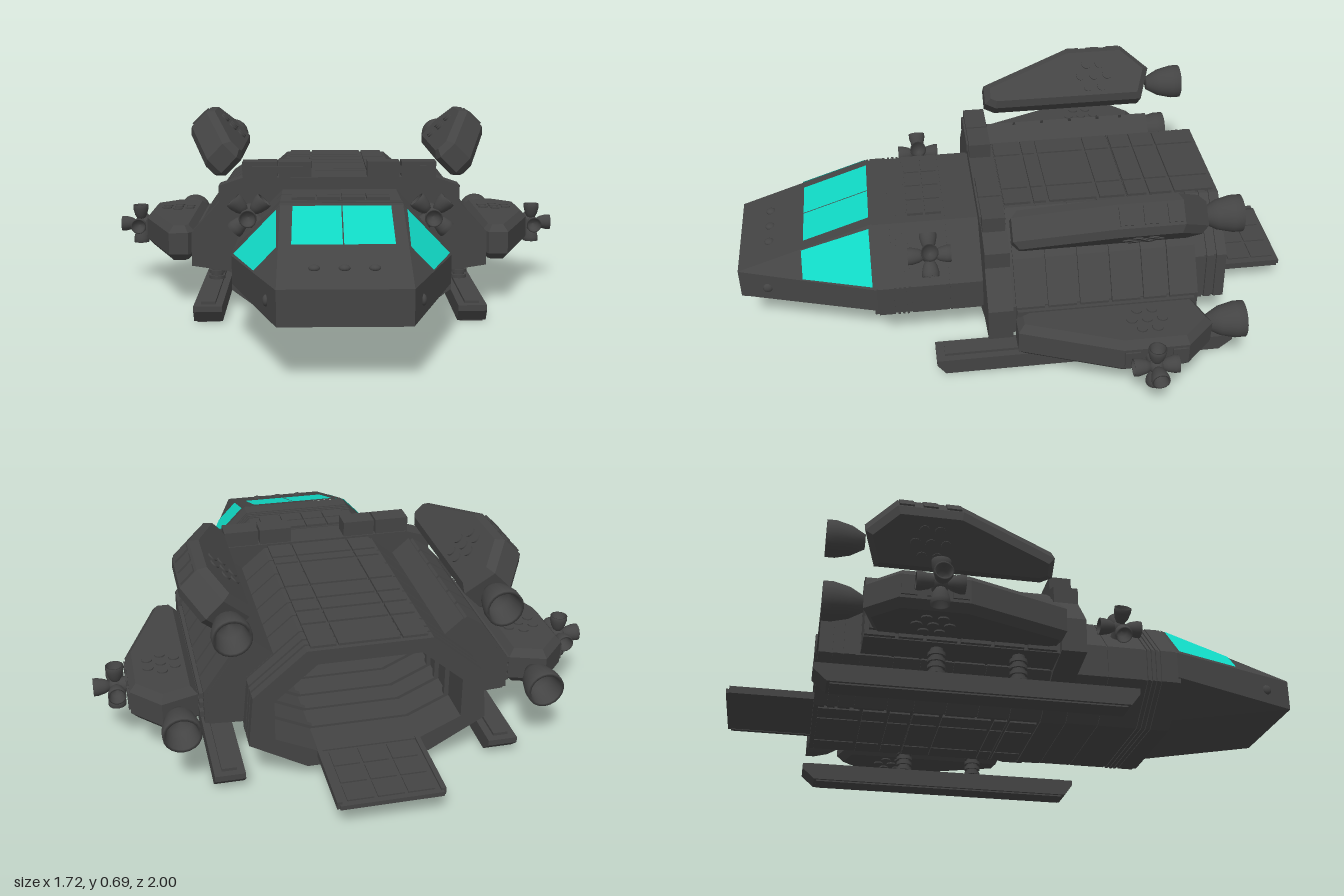
import * as THREE from 'three';

const hull = new THREE.MeshStandardMaterial({ color: 0x444444 });
hull.name = 'charcoal hull';
const glass = new THREE.MeshStandardMaterial({ color: 0x10d8c4, side: THREE.DoubleSide });
glass.name = 'teal glass';

const add = (parent, name, geo, mat = hull) => {
  const m = new THREE.Mesh(geo, mat);
  m.name = name;
  parent.add(m);
  return m;
};
const box = (parent, name, x0, x1, y0, y1, z0, z1) =>
  add(parent, name, new THREE.BoxGeometry(x1 - x0, y1 - y0, z1 - z0)
    .translate((x0 + x1) / 2, (y0 + y1) / 2, (z0 + z1) / 2));

// Symmetric outline from its +x half, listed top to bottom
const outline = (half) => [...half].reverse().concat(half.map(([x, y]) => [-x, y]));
const grow = (pts, k, cy = 0.27) => pts.map(([x, y]) => [x * k, cy + (y - cy) * k]);
const toShape = (pts) => new THREE.Shape(pts.map(([x, y]) => new THREE.Vector2(x, y)));

// Straight section of an outline between two z positions
function prism(parent, name, pts, z0, z1, hole) {
  const s = toShape(pts);
  if (hole) s.holes.push(toShape(hole));
  return add(parent, name, new THREE.ExtrudeGeometry(s, { depth: z1 - z0, bevelEnabled: false }).translate(0, 0, z0));
}

// Tapered section between two outlines, capped at the front
function loft(front, zf, back, zb) {
  const pos = [], n = front.length;
  const A = (i) => [...front[i % n], zf], B = (i) => [...back[i % n], zb];
  for (let i = 0; i < n; i++) {
    pos.push(...B(i), ...B(i + 1), ...A(i + 1), ...B(i), ...A(i + 1), ...A(i));
    if (i > 0 && i < n - 1) pos.push(...A(0), ...A(i), ...A(i + 1));
  }
  const g = new THREE.BufferGeometry();
  g.setAttribute('position', new THREE.Float32BufferAttribute(pos, 3));
  g.computeVertexNormals();
  return g;
}

function quad(a, b, c, d) {
  const g = new THREE.BufferGeometry();
  g.setAttribute('position', new THREE.Float32BufferAttribute([...a, ...b, ...c, ...a, ...c, ...d], 3));
  g.computeVertexNormals();
  return g;
}

// Hollow rocket bell opening along +y
const bell = (r, len) => new THREE.LatheGeometry(
  [[0, 0], [0.4, 0], [0.8, 0.35], [1, 0.75], [1, 1], [0.85, 1], [0.65, 0.4], [0, 0.3]]
    .map(([x, y]) => new THREE.Vector2(x * r, y * len)), 20);

// Cluster of five small bells, the middle one pointing along local +x
function thruster(parent, x, y, z, tilt) {
  const g = new THREE.Group();
  g.name = 'thrusterCluster';
  add(g, 'thrusterCore', new THREE.SphereGeometry(0.026, 12, 8));
  add(g, 'thrusterMount', new THREE.CylinderGeometry(0.022, 0.03, 0.06, 12).rotateZ(-Math.PI / 2).translate(-0.03, 0, 0));
  const up = new THREE.Vector3(0, 1, 0);
  for (const d of [[1, 0, 0], [0, 1, 0], [0, -1, 0], [0, 0, 1], [0, 0, -1]]) {
    const b = add(g, 'thrusterBell', bell(0.03, 0.06).translate(0, 0.015, 0));
    b.quaternion.setFromUnitVectors(up, new THREE.Vector3(...d));
  }
  g.position.set(x, y, z);
  g.rotation.z = tilt;
  parent.add(g);
}

// Chamfered engine pod reaching out along local +x
function pod(parent, name, x, y, tilt) {
  const g = new THREE.Group();
  g.name = name;
  const plan = [[0, 0.55], [0.12, 0.59], [0.215, 0.49], [0.215, 0.27], [0.09, -0.06], [0.02, -0.06], [0, -0.02]];
  add(g, 'podShell', new THREE.ExtrudeGeometry(toShape(plan), {
    depth: 0.08, bevelThickness: 0.025, bevelSize: 0.022, bevelOffset: -0.022, bevelSegments: 1,
  }).rotateX(-Math.PI / 2).translate(0, -0.04, 0));
  // Hexagon of round ports on both broad faces
  for (const side of [-1, 1]) {
    for (let i = 0; i < 7; i++) {
      const a = i * Math.PI / 3, r = i < 6 ? 0.052 : 0;
      add(g, 'podPort', new THREE.CylinderGeometry(0.018, 0.018, 0.008, 14)
        .translate(0.1 + Math.sin(a) * r, side * 0.066, -0.37 + Math.cos(a) * r));
    }
  }
  // Bands round the tip
  for (const z of [-0.3, -0.38, -0.46]) box(g, 'podBand', 0.2, 0.221, -0.03, 0.03, z - 0.025, z + 0.025);
  add(g, 'engineBell', bell(0.063, 0.13).rotateX(-Math.PI / 2).translate(0.07, 0, -0.585));
  g.position.set(x, y, 0);
  g.rotation.z = tilt;
  parent.add(g);
}

// Copies every mesh of a group across x = 0 with its winding corrected
function mirrored(src) {
  const out = new THREE.Group();
  src.updateMatrixWorld(true);
  src.traverse((m) => {
    if (!m.isMesh) return;
    const geo = m.geometry.clone().applyMatrix4(m.matrixWorld).scale(-1, 1, 1);
    const n = geo.index ? geo.index.count : geo.attributes.position.count;
    const idx = Array.from({ length: n }, (_, i) => (geo.index ? geo.index.getX(i) : i));
    for (let i = 0; i < n; i += 3) [idx[i + 1], idx[i + 2]] = [idx[i + 2], idx[i + 1]];
    geo.setIndex(idx);
    add(out, m.name, geo, m.material);
  });
  return out;
}

export function createModel() {
  const model = new THREE.Group();
  model.name = 'dropship';

  // Cockpit nose
  const back = outline([[0.2, 0.45], [0.36, 0.284], [0.36, 0.19], [0.2, 0.09]]);
  const front = outline([[0.2, 0.286], [0.2, 0.284], [0.2, 0.177], [0.2, 0.175]]);
  add(model, 'cockpit', loft(front, 1, back, 0.52));
  const roofY = (z) => 0.286 + 0.164 * (1 - z) / 0.48;
  for (const [a, b] of [[-0.16, -0.002], [0.002, 0.16]]) {
    const p = (x, z) => [x, roofY(z) + 0.004, z];
    add(model, 'windscreen', quad(p(a, 0.765), p(b, 0.765), p(b, 0.53), p(a, 0.53)), glass);
  }
  for (const x of [-0.09, 0, 0.09]) {
    add(model, 'noseStud', new THREE.SphereGeometry(0.018, 12, 8).scale(1, 0.6, 1).translate(x, roofY(0.89), 0.89));
  }
  box(model, 'nosePlate', -0.185, 0.185, 0.19, 0.27, 0.99, 1);

  // Ribbed neck and forward cabin
  const cabin = outline([[0.2, 0.445], [0.355, 0.285], [0.355, 0.17], [0.2, 0.055]]);
  prism(model, 'forwardCabin', cabin, 0.1, 0.53);
  prism(model, 'neckFrame', grow(cabin, 1.015, 0.25), 0.46, 0.515);
  for (let i = 0; i < 3; i++) prism(model, 'neckRib', grow(cabin, 1.02, 0.25), 0.41 + i * 0.016, 0.418 + i * 0.016);
  for (const [a, b] of [[0.155, 0.265], [0.27, 0.4]]) prism(model, 'cabinBand', grow(cabin, 1.012, 0.25), a, b);
  for (let i = 0; i < 4; i++) {
    for (const z of [0.275, 0.338]) box(model, 'cabinRoofPanel', -0.165 + i * 0.084, -0.087 + i * 0.084, 0.44, 0.457, z, z + 0.056);
  }

  // Collar between cabin and hold
  prism(model, 'collar', outline([[0.34, 0.49], [0.43, 0.46], [0.43, 0.4], [0.53, 0.29], [0.53, 0.17], [0.4, 0.15], [0.2, 0.05]]), 0.065, 0.15);

  // Hollow cargo hold, open at the back
  const hold = outline([[0.2, 0.475], [0.37, 0.33], [0.385, 0.16], [0.2, 0.055]]);
  const bay = outline([[0.17, 0.43], [0.31, 0.31], [0.31, 0.17], [0.17, 0.105]]);
  prism(model, 'cargoHold', hold, -0.705, 0.07, bay);
  prism(model, 'bayFrontWall', bay, -0.06, 0.06);
  const cuts = [0.06, -0.05, -0.16, -0.27, -0.38, -0.47, -0.58];
  for (let i = 0; i < cuts.length - 1; i++) {
    prism(model, 'hullBand', grow(hold, 1.018), cuts[i + 1] + 0.004, cuts[i] - 0.004, bay);
    prism(model, 'bayFrame', bay, cuts[i + 1], cuts[i + 1] + 0.02, grow(bay, 0.95));
  }
  for (const [a, b] of [[-0.63, -0.59], [-0.665, -0.64], [-0.71, -0.675]]) prism(model, 'rearRib', grow(hold, 1.025), a, b, bay);

  // Roof and belly plates
  const rows = [0.06, -0.045, -0.1, -0.28, -0.38, -0.46, -0.55, -0.7];
  for (let i = 0; i < rows.length - 1; i++) {
    const z0 = rows[i + 1] + 0.006, z1 = rows[i] - 0.006;
    for (const [a, b] of [[-0.19, -0.108], [-0.1, 0.1], [0.108, 0.19]]) {
      box(model, 'roofPlate', a, b, 0.47, 0.488, z0, z1);
      box(model, 'bellyPlate', a, b, 0.045, 0.06, z0, z1);
    }
  }

  // Loading ramp
  box(model, 'ramp', -0.165, 0.165, 0.085, 0.1, -1, -0.7);
  for (const s of [-1, 1]) box(model, 'rampRail', s * 0.165 - 0.008, s * 0.165 + 0.008, 0.083, 0.108, -0.99, -0.7);
  for (let i = 0; i < 3; i++) {
    for (let j = 0; j < 3; j++) box(model, 'rampTread', -0.14 + i * 0.097, -0.055 + i * 0.097, 0.098, 0.105, -0.98 + j * 0.09, -0.9 + j * 0.09);
  }

  // Left side, mirrored afterwards
  const left = new THREE.Group();
  left.name = 'leftSide';
  const win = (z, s) => {
    const t = (1 - z) / 0.48;
    return [0.2 + 0.16 * t * s + 0.003, 0.284 + 0.166 * t * (1 - s) + 0.003, z + 0.002];
  };
  add(left, 'sideWindow', quad(win(0.77, 0.04), win(0.77, 0.95), win(0.53, 0.96), win(0.53, 0.06)), glass);
  add(left, 'noseSideStud', new THREE.SphereGeometry(0.018, 12, 8).scale(0.6, 1, 1).translate(0.233, 0.23, 0.9));
  box(left, 'collarBlock', 0.1, 0.215, 0.48, 0.545, 0.07, 0.148);
  box(left, 'collarBlock', 0.222, 0.345, 0.48, 0.545, 0.07, 0.148);
  box(left, 'collarVent', 0.13, 0.31, 0.505, 0.53, 0.14, 0.155);

  // Sloped side fairing with panels
  const fairing = [[0.33, 0.16], [0.505, 0.17], [0.505, 0.285], [0.41, 0.42], [0.35, 0.46], [0.28, 0.4]];
  prism(left, 'fairing', fairing, -0.575, 0.07);
  for (let i = 0; i < cuts.length - 1; i++) {
    prism(left, 'fairingPanel', fairing.map(([x, y]) => [x + 0.012, y + 0.004]), cuts[i + 1] + 0.006, cuts[i] - 0.006);
  }
  for (const y of [0.2, 0.235, 0.27]) box(left, 'fairingRail', 0.5, 0.53, y - 0.01, y + 0.01, -0.56, 0.05);

  // Engine pods and thrusters
  pod(left, 'lowerPod', 0.533, 0.232, 0);
  pod(left, 'upperPod', 0.385, 0.508, Math.PI / 4);
  thruster(left, 0.787, 0.232, -0.37, 0);
  thruster(left, 0.313, 0.385, 0.33, Math.PI / 4);

  // Landing skid and struts
  const skid = toShape([[-0.33, 0.045], [-0.3, 0.005], [0.68, 0.005], [0.725, 0.045], [0.725, 0.065], [-0.33, 0.065]]);
  add(left, 'skid', new THREE.ExtrudeGeometry(skid, { depth: 0.1, bevelEnabled: false }).rotateY(Math.PI / 2).translate(0.41, 0, 0));
  box(left, 'skidSole', 0.42, 0.5, 0, 0.01, -0.67, 0.29);
  box(left, 'skidRail', 0.435, 0.485, 0.06, 0.075, -0.7, 0.3);
  for (const z of [-0.065, -0.335]) {
    add(left, 'strut', new THREE.CylinderGeometry(0.022, 0.022, 0.13, 12).translate(0.458, 0.125, z));
    for (let i = 0; i < 4; i++) add(left, 'strutRing', new THREE.CylinderGeometry(0.03, 0.03, 0.012, 12).translate(0.458, 0.082 + i * 0.022, z));
  }

  const right = mirrored(left);
  right.name = 'rightSide';
  model.add(left, right);
  return model;
}
